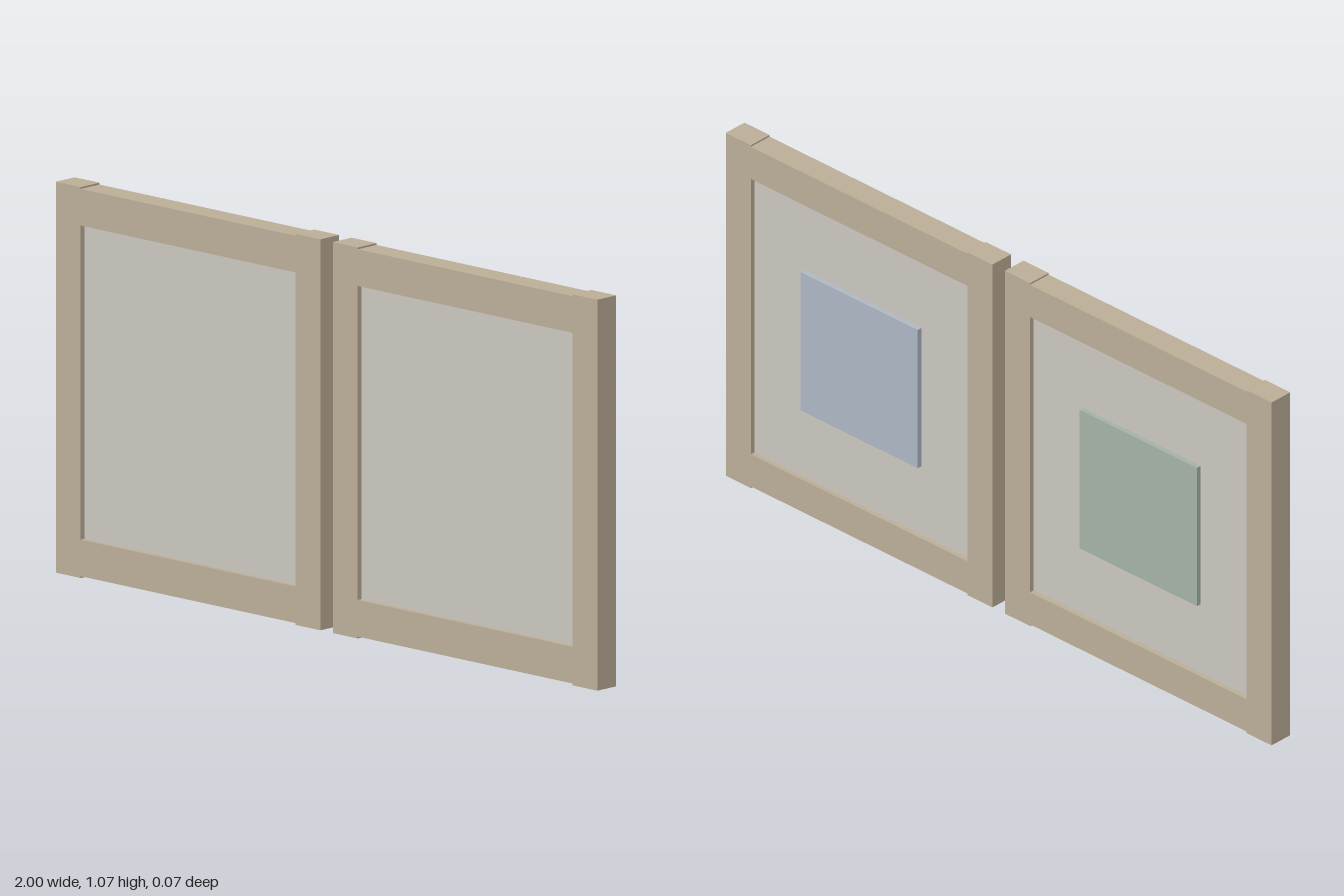
import * as THREE from 'three';

const HEIGHT = 1.066, DEPTH = 0.072;
const INNER = 0.023, OUTER = 1;          // x extent of each frame
const STILE = 0.092;                     // width of the uprights
const RAIL_GAP = 0.005, RAIL = 0.1;      // rails stop just short of the stile ends
const PANEL_DEPTH = 0.044;               // panel is recessed on both faces
const PLATE = 0.43;                      // square plate on the back

const material = (color) => new THREE.MeshStandardMaterial({ color });

function box(name, mat, size, position) {
  const mesh = new THREE.Mesh(new THREE.BoxGeometry(...size), mat);
  mesh.name = name;
  mesh.position.set(...position);
  return mesh;
}

export function createModel() {
  const model = new THREE.Group();
  model.name = 'framedPanelPair';
  const wood = material(0xbcae98);
  const board = material(0xcbc7c1);
  const width = OUTER - INNER;
  const openWidth = width - 2 * STILE;
  const midY = HEIGHT / 2;

  const panels = [
    { name: 'leftPanel', side: 1, color: 0xaeb8c4 },
    { name: 'rightPanel', side: -1, color: 0xa5b2a8 },
  ];

  for (const { name, side, color } of panels) {
    const group = new THREE.Group();
    group.name = name;
    group.position.x = side * (INNER + OUTER) / 2;

    // Full-height stiles and slightly inset rails
    for (const s of [-1, 1]) {
      group.add(box(s < 0 ? 'rightStile' : 'leftStile', wood,
        [STILE, HEIGHT, DEPTH], [s * (width - STILE) / 2, midY, 0]));
      group.add(box(s < 0 ? 'bottomRail' : 'topRail', wood,
        [openWidth, RAIL, DEPTH], [0, midY + s * (midY - RAIL_GAP - RAIL / 2), 0]));
    }

    // Recessed infill board
    group.add(box('infillBoard', board,
      [openWidth, HEIGHT - 2 * (RAIL_GAP + RAIL), PANEL_DEPTH], [0, midY, 0]));

    // Coloured plate on the back, flush with the frame
    const plateDepth = (DEPTH - PANEL_DEPTH) / 2;
    group.add(box('backPlate', material(color),
      [PLATE, PLATE, plateDepth], [0, midY, -(PANEL_DEPTH + plateDepth) / 2]));

    model.add(group);
  }
  return model;
}
